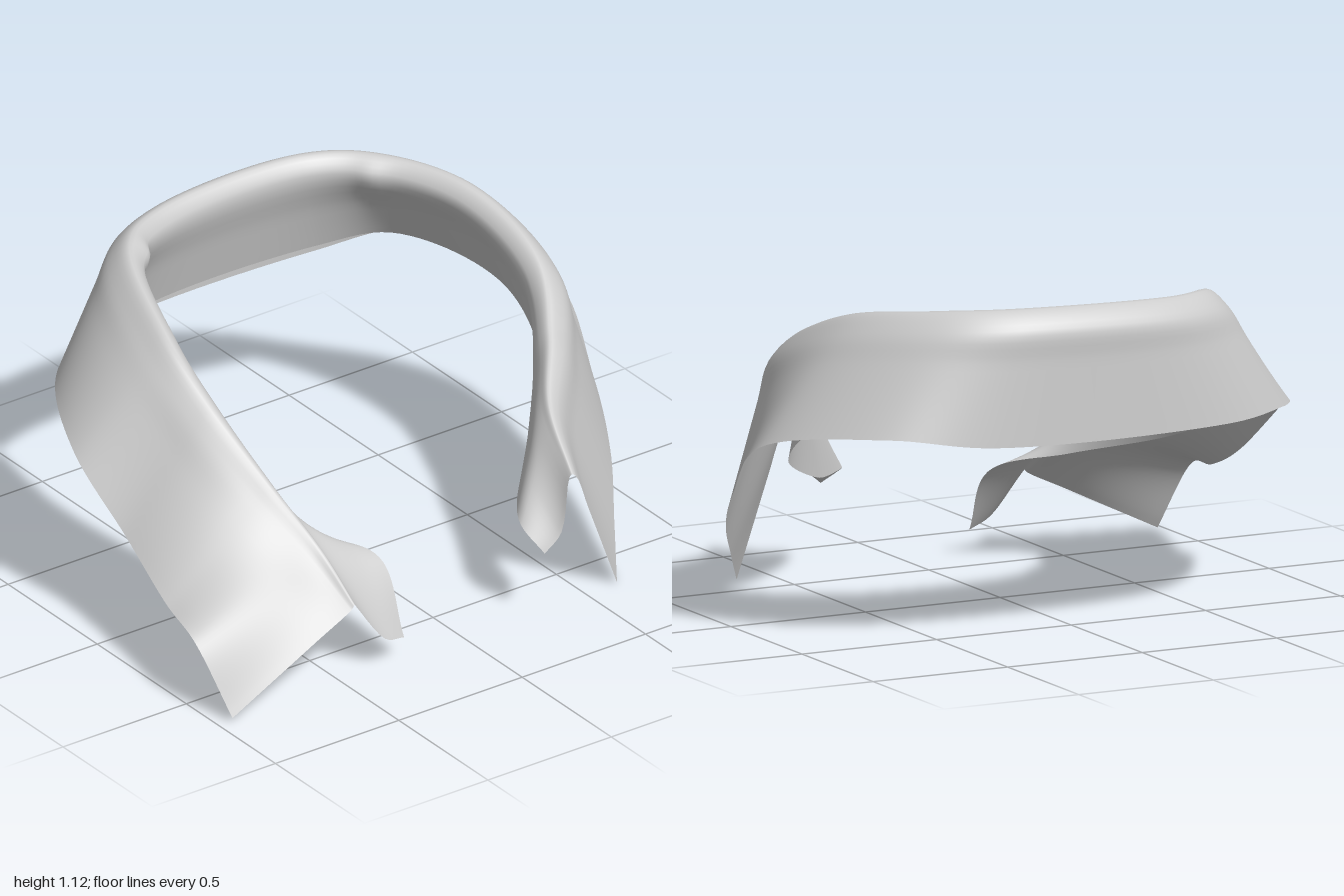
import * as THREE from 'three';

// Rails run from the right front tip, round the back, to the left front tip
const rail = (...points) => new THREE.CatmullRomCurve3(points.map((p) => new THREE.Vector3(...p)));

// Lower edge of the outer leaf
const hemRail = rail(
  [-0.95, 0.015, 0.69], [-1, 0.25, 0.55], [-0.965, 0.29, 0.34], [-0.92, 0.4, 0.05],
  [-0.935, 0.6, -0.22], [-0.75, 0.675, -0.575], [-0.47, 0.675, -0.735], [0.42, 0.68, -0.75],
  [0.74, 0.715, -0.63], [1, 0.645, -0.22], [0.94, 0.42, 0.1], [0.85, 0.265, 0.32],
  [0.735, 0.12, 0.5], [0.63, 0, 0.66],
);
// Top of the fold
const crestRail = rail(
  [-0.44, 0.265, 0.67], [-0.46, 0.41, 0.5], [-0.53, 0.6, 0.3], [-0.59, 0.81, 0.05],
  [-0.595, 0.96, -0.18], [-0.48, 1.09, -0.54], [-0.28, 1.105, -0.66], [0.3, 1.12, -0.66],
  [0.52, 1.11, -0.53], [0.69, 1.065, -0.25], [0.725, 0.93, 0.08], [0.615, 0.785, 0.3],
  [0.47, 0.65, 0.5], [0.405, 0.505, 0.72],
);
// Lower edge of the inner stand
const standRail = rail(
  [-0.24, 0.08, 0.67], [-0.23, 0.31, 0.51], [-0.43, 0.38, 0.33], [-0.66, 0.46, 0.08],
  [-0.755, 0.575, -0.2], [-0.63, 0.69, -0.56], [-0.4, 0.72, -0.69], [0.4, 0.73, -0.7],
  [0.63, 0.755, -0.58], [0.8, 0.675, -0.22], [0.75, 0.52, 0.07], [0.5, 0.39, 0.33],
  [0.25, 0.34, 0.64], [0.265, 0.27, 0.76],
);

const bump = (t, centre, width) => Math.exp(-(((t - centre) / width) ** 2));

// Cross-section at t: up the outer leaf, over the fold, down the inner stand
function section(t) {
  const hem = hemRail.getPoint(t);
  const crest = crestRail.getPoint(t);
  const edge = standRail.getPoint(t);
  const tangent = crestRail.getTangent(t);
  const out = new THREE.Vector3(tangent.z, 0, -tangent.x).normalize();
  const roll = 0.012 + 0.043 * Math.min(1, Math.sin(Math.PI * t) * 1.6);

  // The stand is pinched at the two back corners
  const pinch = 0.02 * (bump(t, 0.395, 0.016) + 0.6 * bump(t, 0.61, 0.016));
  const leafTop = crest.clone().addScaledVector(out, roll * 1.3);
  leafTop.y -= roll * 1.1;
  const standTop = crest.clone().addScaledVector(out, -roll * 0.85 - pinch);
  standTop.y -= roll * 1.1;

  // The stand curls under at both front ends
  const curl = bump(t, 0, 0.07) + bump(t, 1, 0.07);
  const standMiddle = standTop.clone().lerp(edge, 0.5);
  standMiddle.y -= 0.05 * curl;
  standMiddle.z += 0.025 * curl;

  return new THREE.CatmullRomCurve3([
    hem,
    hem.clone().lerp(leafTop, 0.35),
    hem.clone().lerp(leafTop, 0.72),
    leafTop,
    crest,
    standTop,
    standMiddle,
    edge,
  ]);
}

// Sheet of cloth swept along the rails
function createCollarGeometry() {
  const around = 160, across = 35;
  const geometry = new THREE.PlaneGeometry(1, 1, around, across);
  const position = geometry.attributes.position;
  for (let i = 0; i <= around; i++) {
    const curve = section(1 - i / around);
    for (let j = 0; j <= across; j++) {
      const p = curve.getPoint(1 - j / across);
      position.setXYZ(j * (around + 1) + i, p.x, p.y, p.z);
    }
  }
  geometry.computeVertexNormals();
  return geometry;
}

export function createModel() {
  const group = new THREE.Group();
  group.name = 'collar';
  const material = new THREE.MeshStandardMaterial({ color: 0xcccccc, side: THREE.DoubleSide });
  const cloth = new THREE.Mesh(createCollarGeometry(), material);
  cloth.name = 'foldedCollarCloth';
  group.add(cloth);
  return group;
}
